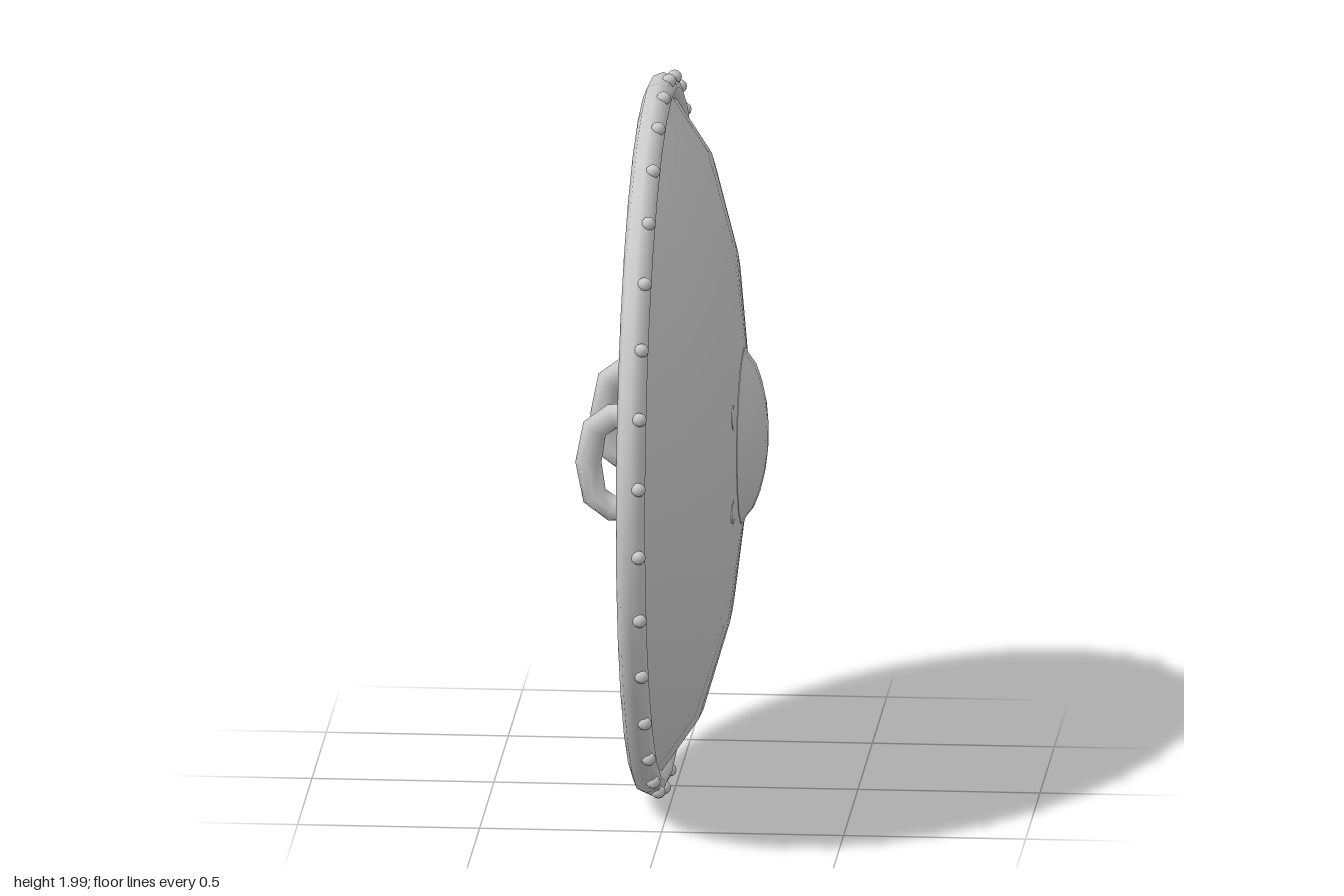
import * as THREE from 'three';
import { toCreasedNormals } from 'three/addons/utils/BufferGeometryUtils.js';

const SIDES = 32;
const solid = new THREE.MeshStandardMaterial({ color: 0xcccccc });
const thin = new THREE.MeshStandardMaterial({ color: 0xcccccc, side: THREE.DoubleSide });

function addMesh(parent, name, geometry, material = solid) {
  const mesh = new THREE.Mesh(geometry, material);
  mesh.name = name;
  parent.add(mesh);
  return mesh;
}

// Surface of revolution from [radius, height] pairs
function lathe(profile, sides) {
  return new THREE.LatheGeometry(profile.map(([r, h]) => new THREE.Vector2(r, h)), sides);
}

export function createModel() {
  const model = new THREE.Group();
  model.name = 'roundShield';

  // Round parts are made about the y axis, then turned to face +x
  const disc = new THREE.Group();
  disc.name = 'disc';
  disc.rotation.z = -Math.PI / 2;
  disc.position.y = 1;
  model.add(disc);

  // Thin domed board, open at the back
  addMesh(disc, 'board', lathe(
    [[0.955, -0.045], [0.78, 0.075], [0.53, 0.148], [0.25, 0.185], [0, 0.2]], SIDES), thin);

  // Central boss with a small lip
  const boss = lathe([[0.245, 0.165], [0.245, 0.187], [0.23, 0.192], [0.2, 0.215],
    [0.155, 0.232], [0.105, 0.244], [0.05, 0.251], [0, 0.253]], 16);
  addMesh(disc, 'boss', toCreasedNormals(boss, 0.6), thin);

  // Rounded rim
  const rim = new THREE.TorusGeometry(0.953, 0.04, 8, SIDES).rotateX(Math.PI / 2);
  addMesh(disc, 'rim', rim).position.y = -0.05;

  // Rivets around the rim's outer front edge
  const rivets = new THREE.Group();
  rivets.name = 'rivets';
  disc.add(rivets);
  const rivetShape = new THREE.SphereGeometry(0.02, 8, 6);
  for (let i = 0; i < SIDES; i++) {
    const a = ((i + 0.5) / SIDES) * Math.PI * 2;
    addMesh(rivets, 'rivet', rivetShape)
      .position.set(Math.cos(a) * 0.98, -0.026, Math.sin(a) * 0.98);
  }

  // Two U-shaped grips on the back, one ring of vertices per path point
  const path = new THREE.CatmullRomCurve3([
    [0.18, 0.132], [-0.06, 0.132], [-0.155, 0.13], [-0.203, 0.095], [-0.22, 0],
    [-0.203, -0.095], [-0.155, -0.13], [-0.06, -0.132], [0.18, -0.132],
  ].map(([x, y]) => new THREE.Vector3(x, y, 0)));
  path.getUtoTmapping = (u) => u;
  const gripShape = new THREE.TubeGeometry(path, 8, 0.036, 8);
  for (const side of [-1, 1]) {
    addMesh(model, side > 0 ? 'leftGrip' : 'rightGrip', gripShape, thin)
      .position.set(0, 0.985, side * 0.26);
  }

  return model;
}
